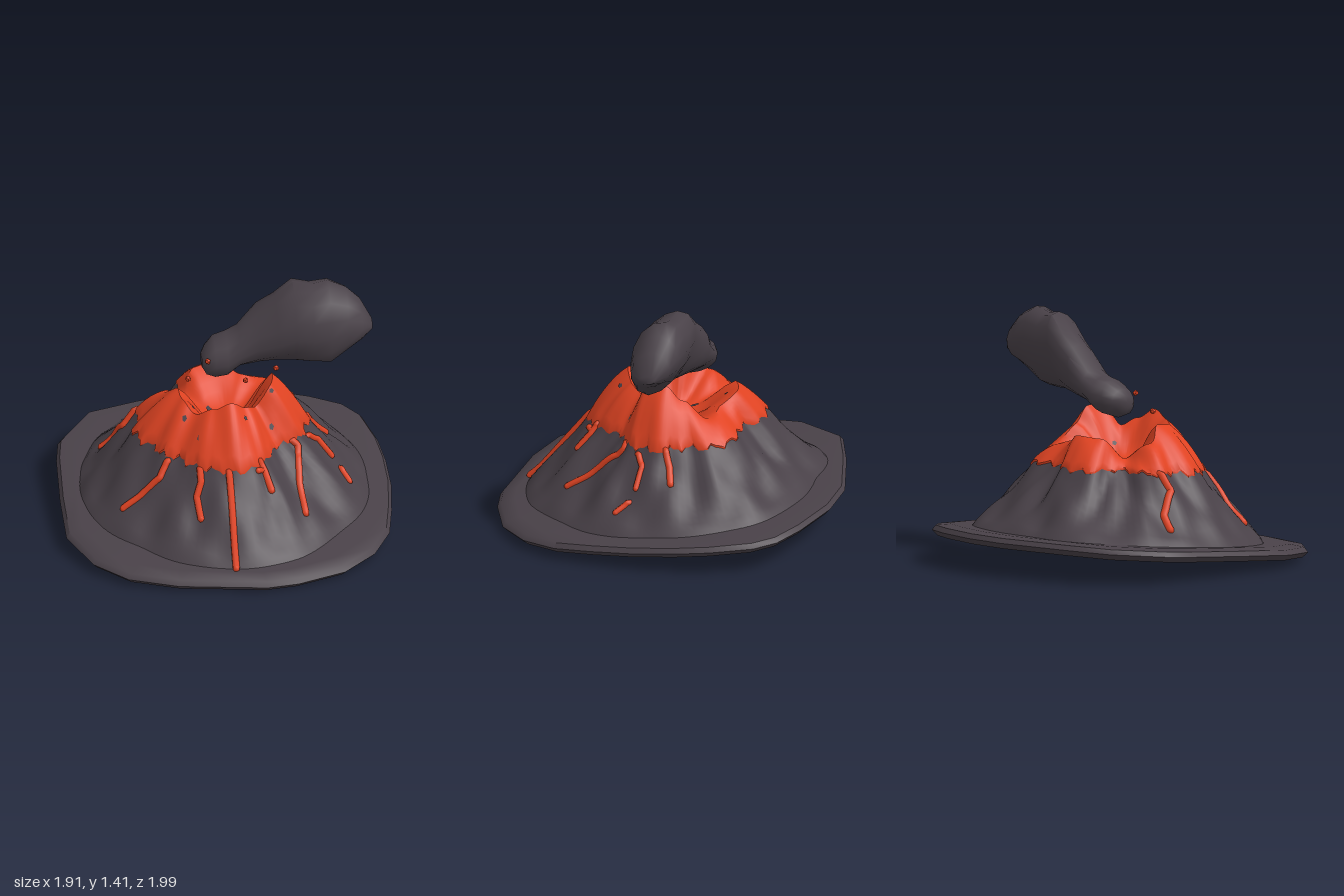
import * as THREE from 'three';
import { toCreasedNormals } from 'three/addons/utils/BufferGeometryUtils.js';

const TAU = Math.PI * 2;

// Outline of the tilted ground slab, as x, z
const OUTLINE = [[0.03, -1], [0.3, -0.97], [0.6, -0.86], [0.78, -0.76], [0.87, -0.64], [0.93, -0.4], [0.95, -0.2],
  [0.95, 0.05], [0.92, 0.3], [0.88, 0.52], [0.77, 0.72], [0.58, 0.88], [0.3, 0.97], [0.12, 0.99], [-0.38, 0.92],
  [-0.66, 0.82], [-0.84, 0.65], [-0.96, 0.37], [-0.95, 0], [-0.92, -0.4], [-0.89, -0.57], [-0.69, -0.84], [-0.4, -0.92]];

// Mountain measures at even bearings, turning from +x towards +z
const FOOT = [0.83, 0.84, 0.82, 0.86, 0.86, 0.84, 0.81, 0.84, 0.84, 0.85, 0.88, 0.9, 0.83, 0.85, 0.87, 0.85];
const EDGE = [0.48, 0.45, 0.45, 0.39, 0.36, 0.39, 0.44, 0.48, 0.5, 0.48, 0.47, 0.45, 0.43, 0.47, 0.46, 0.51,
  0.53, 0.48, 0.53, 0.49, 0.38, 0.42, 0.53, 0.52, 0.5, 0.43, 0.44, 0.49, 0.51, 0.5, 0.45, 0.46];
const RIM = [0.27, 0.27, 0.22, 0.25, 0.27, 0.27, 0.28, 0.28, 0.27, 0.36, 0.29, 0.36, 0.37, 0.32, 0.36, 0.28];
const PEAK = [0.86, 0.85, 0.74, 0.78, 0.835, 0.79, 0.74, 0.79, 0.8, 0.71, 0.62, 0.74, 0.75, 0.7, 0.67, 0.77];

// Smooth lookup around the bearings
function around(table, a) {
  const u = (((a / TAU) % 1) + 1) % 1 * table.length;
  const i = Math.floor(u), s = (1 - Math.cos((u - i) * Math.PI)) / 2;
  return THREE.MathUtils.lerp(table[i % table.length], table[(i + 1) % table.length], s);
}

const ground = (z) => 0.085 * (1 - z);

// Height of the mountain at bearing a and radius r
function height(a, r) {
  const z = r * Math.sin(a);
  const rim = around(RIM, a), edge = around(EDGE, a), foot = around(FOOT, a), peak = around(PEAK, a);
  const edgeY = 0.555 - 0.03 * Math.sin(a);
  if (r < rim) return THREE.MathUtils.lerp(0.58, peak, THREE.MathUtils.smoothstep(r / rim, 0.25, 1.05));
  if (r < edge) {
    const t = (r - rim) / (edge - rim);
    return THREE.MathUtils.lerp(peak, edgeY, t * (0.65 + 0.35 * t));
  }
  const t = Math.min(1, (r - edge) / (foot - edge));
  const gully = 0.016 * Math.sin(11 * a + 5 * t) + 0.012 * Math.sin(19 * a - 4 * t + 1);
  const footY = ground(z) + 0.075;
  return footY + (edgeY - footY) * Math.pow(1 - t, 1.2) + gully * Math.sin(Math.PI * t);
}

const onSlope = (x, z, lift = 0) =>
  new THREE.Vector3(x, height(Math.atan2(z, x), Math.hypot(x, z)) + lift, z);

// Skin between closed rings of points
function loft(rings, crease) {
  const n = rings[0].length, pos = [], index = [];
  rings.forEach((ring) => ring.forEach((p) => pos.push(p.x, p.y, p.z)));
  for (let j = 0; j < rings.length - 1; j++) {
    for (let i = 0; i < n; i++) {
      const k = (i + 1) % n, a = j * n + i, b = a + n, c = j * n + k, d = c + n;
      index.push(a, c, b, c, d, b);
    }
  }
  const g = new THREE.BufferGeometry();
  g.setAttribute('position', new THREE.Float32BufferAttribute(pos, 3));
  g.setIndex(index);
  return toCreasedNormals(g, crease);
}

export function createModel() {
  const model = new THREE.Group();
  const rock = new THREE.MeshStandardMaterial({ color: 0x494148 });
  rock.name = 'ash rock';
  const lava = new THREE.MeshStandardMaterial({ color: 0xe04322 });
  lava.name = 'lava';
  const add = (name, geometry, material, parent = model) => {
    const mesh = new THREE.Mesh(geometry, material);
    mesh.name = name;
    parent.add(mesh);
    return mesh;
  };

  // Ground slab with a rounded rim
  const slabRing = (scale, lift) => OUTLINE.map(([x, z]) =>
    new THREE.Vector3(x * scale, ground(z * scale) + lift, z * scale));
  add('groundSlab', loft([slabRing(0, 0.074), slabRing(0.9, 0.072), slabRing(0.98, 0.06), slabRing(1, 0.032),
    slabRing(0.97, 0), slabRing(0, 0)], 0.8), rock);

  // Rocky slopes, tucked under the lava and into the slab
  const SEG = 128;
  const ringOf = (fn) => Array.from({ length: SEG }, (_, i) => {
    const a = (i / SEG) * TAU, [r, lift] = fn(a, i);
    return new THREE.Vector3(r * Math.cos(a), height(a, r) + lift, r * Math.sin(a));
  });
  const slopes = [];
  for (let j = 0; j <= 12; j++) {
    const t = j / 12;
    slopes.push(ringOf((a) => [THREE.MathUtils.lerp(around(EDGE, a) * 0.92, around(FOOT, a), t), j === 12 ? -0.02 : 0]));
  }
  add('mountainSlopes', loft(slopes, 0.8), rock);

  // Lava cap: crater bowl, rim and ragged lower edge
  const cap = [];
  for (let j = 0; j <= 7; j++) cap.push(ringOf((a) => [around(RIM, a) * j / 7, 0.01]));
  const tooth = (i) => 0.5 + 0.3 * Math.sin(i * 1.3) + 0.2 * Math.sin(i * 3.1 + 1);
  for (let j = 1; j <= 6; j++) {
    cap.push(ringOf((a, i) => {
      const rim = around(RIM, a), end = around(EDGE, a) + 0.03 * tooth(i) - 0.01;
      const fold = 0.008 * Math.sin(13 * a) * Math.sin(Math.PI * j / 6);
      return [THREE.MathUtils.lerp(rim, end, j / 6), 0.012 + fold];
    }));
  }
  cap.push(ringOf((a, i) => [around(EDGE, a) + 0.03 * tooth(i) - 0.012, -0.02]));
  add('lavaCap', loft(cap, 0.8), lava);

  // Lava streams running down the slopes, as x, z paths with a radius
  const streams = [
    [0.021, [-0.04, 0.48], [-0.04, 0.6], [-0.045, 0.85]],
    [0.021, [-0.2, 0.42], [-0.2, 0.48], [-0.23, 0.52], [-0.215, 0.6]],
    [0.021, [0.14, 0.41], [0.17, 0.45], [0.2, 0.52]],
    [0.018, [0.17, 0.44], [0.13, 0.47]],
    [0.021, [0.35, 0.2], [0.39, 0.21], [0.38, 0.38], [0.395, 0.54]],
    [0.02, [-0.36, 0.29], [-0.42, 0.34], [-0.5, 0.335], [-0.63, 0.34]],
    [0.022, [-0.47, -0.21], [-0.56, -0.2], [-0.6, -0.3], [-0.67, -0.32]],
    [0.018, [0.45, 0.12], [0.52, 0.08], [0.6, 0.1]],
    [0.018, [0.64, 0.12], [0.69, 0.2]],
    [0.02, [0.46, -0.04], [0.52, -0.08], [0.59, -0.1]],
  ];
  const streamGroup = new THREE.Group();
  streamGroup.name = 'lavaStreams';
  model.add(streamGroup);
  streams.forEach(([radius, ...path]) => {
    const pts = [];
    for (let k = 0; k < path.length - 1; k++) {
      for (let s = 0; s < 5; s++) {
        const t = s / 5;
        pts.push(onSlope(THREE.MathUtils.lerp(path[k][0], path[k + 1][0], t),
          THREE.MathUtils.lerp(path[k][1], path[k + 1][1], t), k + s === 0 ? -0.018 : 0.003));
      }
    }
    const end = onSlope(...path[path.length - 1], 0.002);
    pts.push(end);
    const curve = new THREE.CatmullRomCurve3(pts);
    add('lavaStream', new THREE.TubeGeometry(curve, pts.length * 2, radius, 7), lava, streamGroup);
    add('streamEnd', new THREE.SphereGeometry(radius, 7, 5), lava, streamGroup).position.copy(end);
  });

  // Bare rock patches lying flat on the lava
  [[-0.08, -0.1, 2], [0.12, 0.06, 1], [0.25, 0.13, 1], [-0.2, 0.13, 1], [-0.08, 0.12, 2], [0.08, 0.3, 1],
    [-0.26, 0.2, 1.4], [-0.19, 0.33, 1.4], [0.24, 0.21, 1.4], [0, -0.3, 1]].forEach(([x, z, stretch]) => {
    const e = 0.015, p = onSlope(x, z, 0.017);
    const normal = new THREE.Vector3(onSlope(x - e, z).y - onSlope(x + e, z).y, 2 * e,
      onSlope(x, z - e).y - onSlope(x, z + e).y).normalize();
    const patch = add('rockPatch', new THREE.CircleGeometry(0.015, 5), rock);
    patch.scale.set(1, stretch, 1);
    patch.position.copy(p);
    patch.lookAt(p.add(normal));
  });

  // Drifting smoke plume: x, bottom, top, back, front of each section
  const plume = [[-0.125, 0.9, 0.97, -0.14, -0.05], [-0.1, 0.86, 1.01, -0.19, -0.01], [-0.05, 0.84, 1.06, -0.23, 0],
    [0.02, 0.85, 1.075, -0.25, 0.01], [0.09, 0.905, 1.11, -0.25, 0.01], [0.2, 0.925, 1.24, -0.25, 0.03],
    [0.3, 0.945, 1.31, -0.23, 0.07], [0.4, 0.955, 1.41, -0.2, 0.1], [0.5, 0.955, 1.4, -0.19, 0.12],
    [0.6, 0.96, 1.425, -0.18, 0.13], [0.7, 1.03, 1.375, -0.16, 0.11], [0.78, 1.08, 1.3, -0.13, 0.09],
    [0.845, 1.13, 1.18, -0.06, 0.03]];
  const section = ([x, y0, y1, z0, z1], scale = 1) => Array.from({ length: 14 }, (_, i) => {
    const a = (i / 14) * TAU, bump = scale * (1 + 0.04 * Math.sin(3 * a + 9 * x));
    const dy = Math.cos(a) * bump * (y1 - y0) / 2;
    return new THREE.Vector3(x, (y0 + y1) / 2 + dy, (z0 + z1) / 2 + Math.sin(a) * bump * (z1 - z0) / 2 - 0.22 * dy);
  });
  add('smokePlume', loft([section(plume[0], 0), ...plume.map((s) => section(s)),
    section(plume[plume.length - 1], 0)], 1), rock);

  // Flying embers
  [[-0.215, 0.88, 0.02], [-0.1, 0.975, 0], [0.11, 0.87, 0.06], [0.29, 0.915, 0.02]].forEach(([x, y, z], i) => {
    const ember = add('ember', new THREE.DodecahedronGeometry(0.017), lava);
    ember.position.set(x, y, z);
    ember.rotation.set(i, i * 2, 0);
  });

  return model;
}
